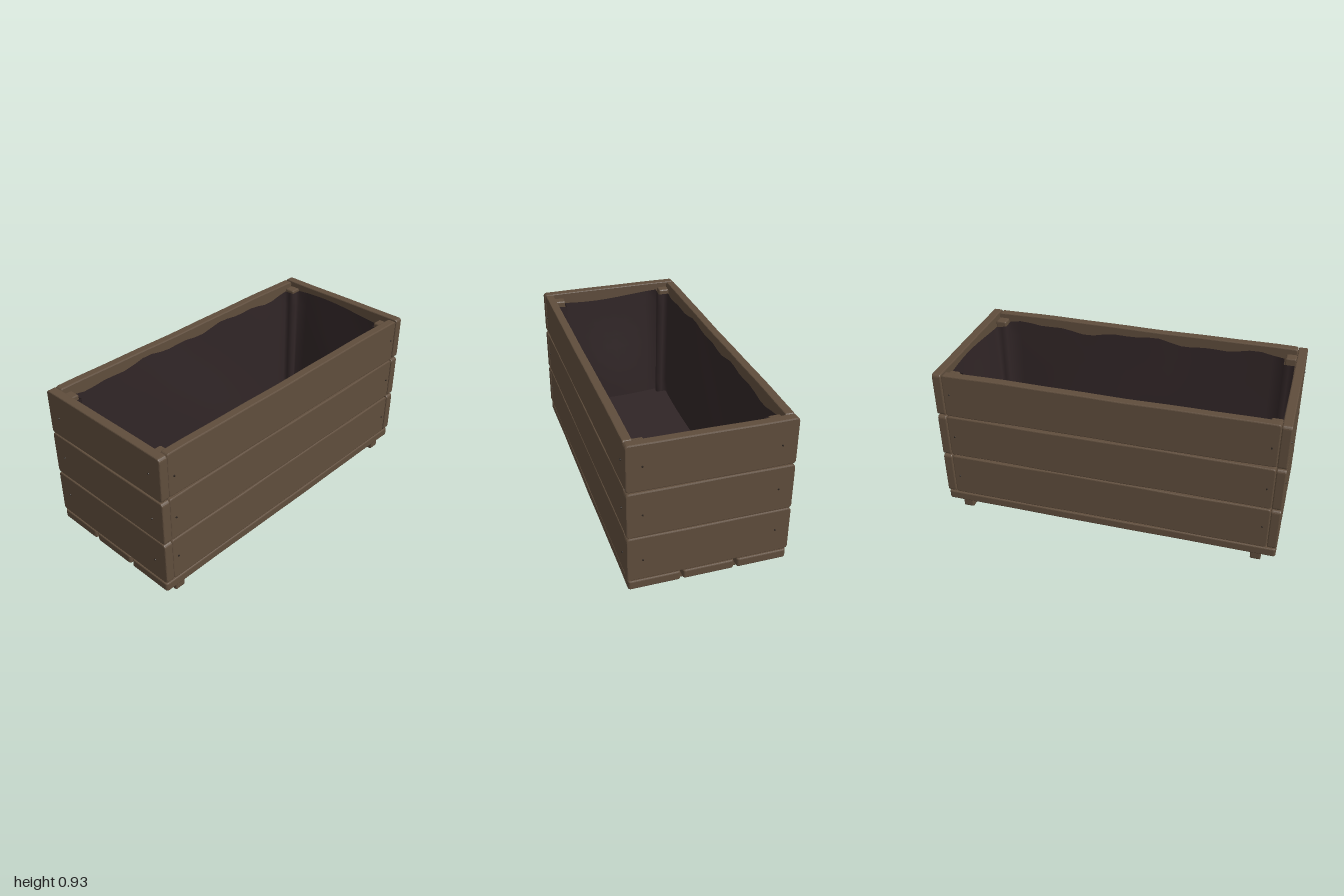
import * as THREE from 'three';

const wood = new THREE.MeshStandardMaterial({ color: 0x5f4d3c });
wood.name = 'weathered wood';
const cloth = new THREE.MeshStandardMaterial({ color: 0x302526, side: THREE.DoubleSide });
cloth.name = 'dark liner';
const steel = new THREE.MeshStandardMaterial({ color: 0x2c241e });
steel.name = 'dark screw';

// Board lying in the xy plane, centred, with rounded corners, worn edges and a slight wave.
function board(name, w, h, t, seed, wave = 0.002, r = 0.015) {
  const bevel = 0.006, pts = [], n = 16;
  const wob = (x, k) => wave * (Math.sin(x * 5 + seed * 2.1 + k) + 0.5 * Math.sin(x * 13 + seed + k) - 1.5);
  const corner = (sx, sy, from) => {
    for (let i = 0; i <= 4; i++) {
      const a = from + (i / 4) * Math.PI / 2;
      const x = sx * (w / 2 - r) + r * Math.cos(a);
      pts.push(new THREE.Vector2(x, sy * (h / 2 - r) + r * Math.sin(a) + sy * wob(x, sy)));
    }
  };
  const edge = (s) => {
    for (let i = 1; i < n; i++) {
      const x = s * (w / 2 - r) * (1 - 2 * i / n);
      pts.push(new THREE.Vector2(x, s * h / 2 + s * wob(x, s)));
    }
  };
  corner(1, 1, 0);
  edge(1);
  corner(-1, 1, Math.PI / 2);
  corner(-1, -1, Math.PI);
  edge(-1);
  corner(1, -1, Math.PI * 1.5);
  const g = new THREE.ExtrudeGeometry(new THREE.Shape(pts), {
    depth: t - 2 * bevel, bevelEnabled: true, bevelSize: bevel, bevelOffset: -bevel,
    bevelThickness: bevel, bevelSegments: 2,
  });
  g.translate(0, 0, -t / 2 + bevel);
  const mesh = new THREE.Mesh(g, wood);
  mesh.name = name;
  return mesh;
}

// Sagging cloth lining that folds around the corner posts.
function liner() {
  const corners = [[0.93, -0.315], [0.93, 0.315], [0.865, 0.315], [0.865, 0.382],
    [-0.865, 0.382], [-0.865, 0.315], [-0.93, 0.315], [-0.93, -0.315],
    [-0.865, -0.315], [-0.865, -0.382], [0.865, -0.382], [0.865, -0.315]];
  const ring = [];
  corners.forEach(([x, z], i) => {
    const [x2, z2] = corners[(i + 1) % corners.length];
    const len = Math.hypot(x2 - x, z2 - z), n = Math.max(2, Math.round(len / 0.07));
    for (let k = 0; k < n; k++) {
      const f = k / n;
      ring.push({ x: x + (x2 - x) * f, z: z + (z2 - z) * f, sag: len > 0.2 ? Math.sin(f * Math.PI) : 0 });
    }
  });
  const n = ring.length, levels = 8, pos = [], idx = [];
  const put = (p, t) => {
    const top = 0.875 + 0.012 * Math.sin(p.x * 9 + p.z * 4) + 0.008 * Math.sin(p.x * 21 - p.z * 7);
    const side = Math.abs(p.x) > 0.92;
    const inset = 0.012 * (1 - t) + p.sag * (0.025 * (1 - t) + 0.006 * Math.sin(t * 5 + p.x * 6));
    const x = p.x - (side ? Math.sign(p.x) * inset : 0);
    const z = p.z - (side ? 0 : Math.sign(p.z) * inset);
    pos.push(x, 0.128 + (top - 0.128) * t, z);
  };
  for (let j = 0; j <= levels; j++) ring.forEach((p) => put(p, j / levels));
  for (let j = 0; j < levels; j++) {
    for (let i = 0; i < n; i++) {
      const a = j * n + i, b = j * n + (i + 1) % n;
      idx.push(a, b, a + n, b, b + n, a + n);
    }
  }
  // floor with its own vertices, so the fold stays sharp
  const base = pos.length / 3;
  ring.forEach((p) => put(p, 0));
  pos.push(0, 0.128, 0);
  for (let i = 0; i < n; i++) idx.push(base + n, base + (i + 1) % n, base + i);
  const g = new THREE.BufferGeometry();
  g.setAttribute('position', new THREE.Float32BufferAttribute(pos, 3));
  g.setIndex(idx);
  g.computeVertexNormals();
  const mesh = new THREE.Mesh(g, cloth);
  mesh.name = 'liner';
  return mesh;
}

export function createModel() {
  const model = new THREE.Group();
  model.name = 'planter box';
  const add = (mesh, x, y, z) => {
    mesh.position.set(x, y, z);
    model.add(mesh);
    return mesh;
  };

  // three rows of planks on all four sides
  const rows = [0.254, 0.525, 0.798];
  rows.forEach((y, i) => {
    for (const s of [1, -1]) {
      add(board(s > 0 ? 'frontPlank' : 'backPlank', 1.872, 0.268, 0.05, i + s * 3), 0, y, s * 0.415);
      add(board(s > 0 ? 'leftEndPlank' : 'rightEndPlank', 0.888, 0.268, 0.052, i + s * 5, 0.001, 0.018),
        s * 0.964, y, 0).rotation.y = Math.PI / 2;
    }
  });

  // bottom boards with gaps between them
  [[0.298, 0.285], [0, 0.285], [-0.298, 0.285]].forEach(([z, w], i) => {
    add(board('bottomBoard', 1.98, w, 0.05, i + 1, 0.001), 0, 0.088, z).rotation.x = -Math.PI / 2;
  });

  // runners and corner posts
  for (const sx of [1, -1]) {
    add(board('runner', 0.842, 0.065, 0.06, 2, 0.0005, 0.014), sx * 0.88, 0.0325, 0).rotation.y = Math.PI / 2;
    for (const sz of [1, -1]) {
      add(board('cornerPost', 0.064, 0.78, 0.064, 1, 0.0005, 0.01), sx * 0.905, 0.51, sz * 0.356);
    }
  }

  add(liner(), 0, 0, 0);

  // small screw heads where the planks meet the posts
  const head = new THREE.CylinderGeometry(0.004, 0.006, 0.008, 8);
  rows.forEach((y, i) => {
    for (const sx of [1, -1]) {
      for (const sz of [1, -1]) {
        const end = add(new THREE.Mesh(head, steel), sx * 0.991, y + 0.01 * sz * (i - 1), sz * 0.36);
        end.rotation.z = -sx * Math.PI / 2;
        end.name = 'endScrew';
        const face = add(new THREE.Mesh(head, steel), sx * 0.9, y + 0.01 * sx * (i - 1), sz * 0.442);
        face.rotation.x = sz * Math.PI / 2;
        face.name = 'faceScrew';
      }
    }
  });
  return model;
}
